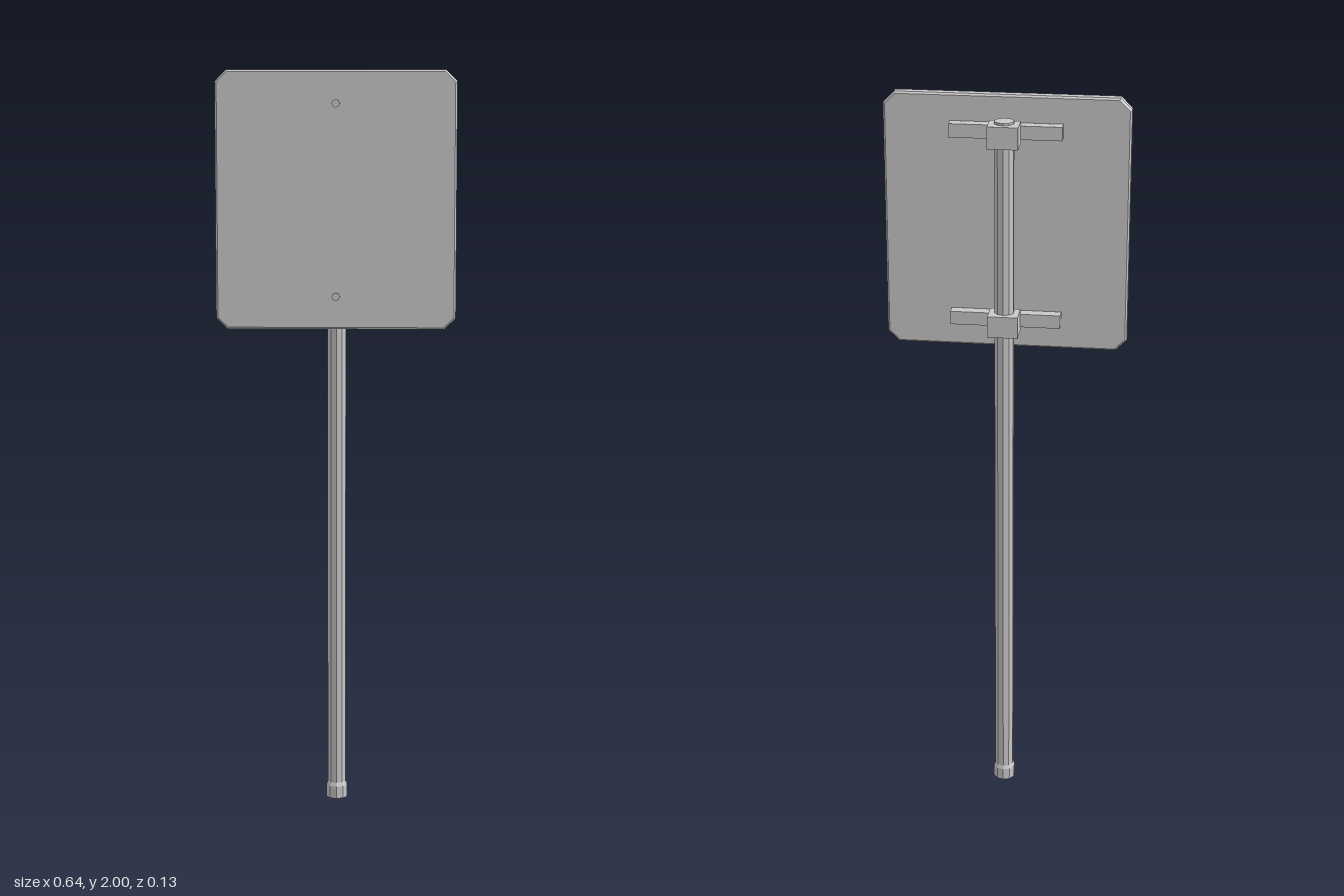
import * as THREE from 'three';

export function createModel() {
  const model = new THREE.Group();
  const grey = new THREE.MeshStandardMaterial({ color: 0xc9c9c9, flatShading: true });
  grey.name = 'galvanised grey';

  const add = (name, geometry, x, y, z) => {
    const mesh = new THREE.Mesh(geometry, grey);
    mesh.name = name;
    mesh.position.set(x, y, z);
    model.add(mesh);
    return mesh;
  };

  // Sign plate: chamfered corners and a small bevel on both faces
  const bevel = 0.005, w = 0.32 - bevel, h = 0.342 - bevel, c = 0.027;
  const outline = new THREE.Shape([
    [-w + c, -h], [w - c, -h], [w, -h + c], [w, h - c],
    [w - c, h], [-w + c, h], [-w, h - c], [-w, -h + c],
  ].map(([x, y]) => new THREE.Vector2(x, y)));
  const plate = new THREE.ExtrudeGeometry(outline, {
    depth: 0.021, bevelEnabled: true, bevelThickness: bevel, bevelSize: bevel, bevelSegments: 1,
  });
  add('signPlate', plate, 0, 1.658, 0.032);

  // Post with a chamfered foot cap
  const postZ = -0.024;
  add('post', new THREE.CylinderGeometry(0.026, 0.026, 1.947, 10), 0, 1.947 / 2, postZ);
  const capProfile = [[0, 0], [0.03, 0], [0.03, 0.034], [0.026, 0.044]]
    .map(([r, y]) => new THREE.Vector2(r, y));
  add('footCap', new THREE.LatheGeometry(capProfile, 10), 0, 0, postZ);

  // Upper and lower mounts: clamp block, cross rail and bolt head on the plate
  for (const [label, y] of [['upper', 1.912], ['lower', 1.403]]) {
    add(label + 'Clamp', new THREE.BoxGeometry(0.08, 0.058, 0.065), 0, y, -0.032);
    add(label + 'Rail', new THREE.BoxGeometry(0.292, 0.036, 0.03), 0, y, 0.008);
    const bolt = add(label + 'Bolt', new THREE.CylinderGeometry(0.011, 0.011, 0.012, 8), 0, y, 0.057);
    bolt.rotation.x = Math.PI / 2;
  }
  return model;
}
